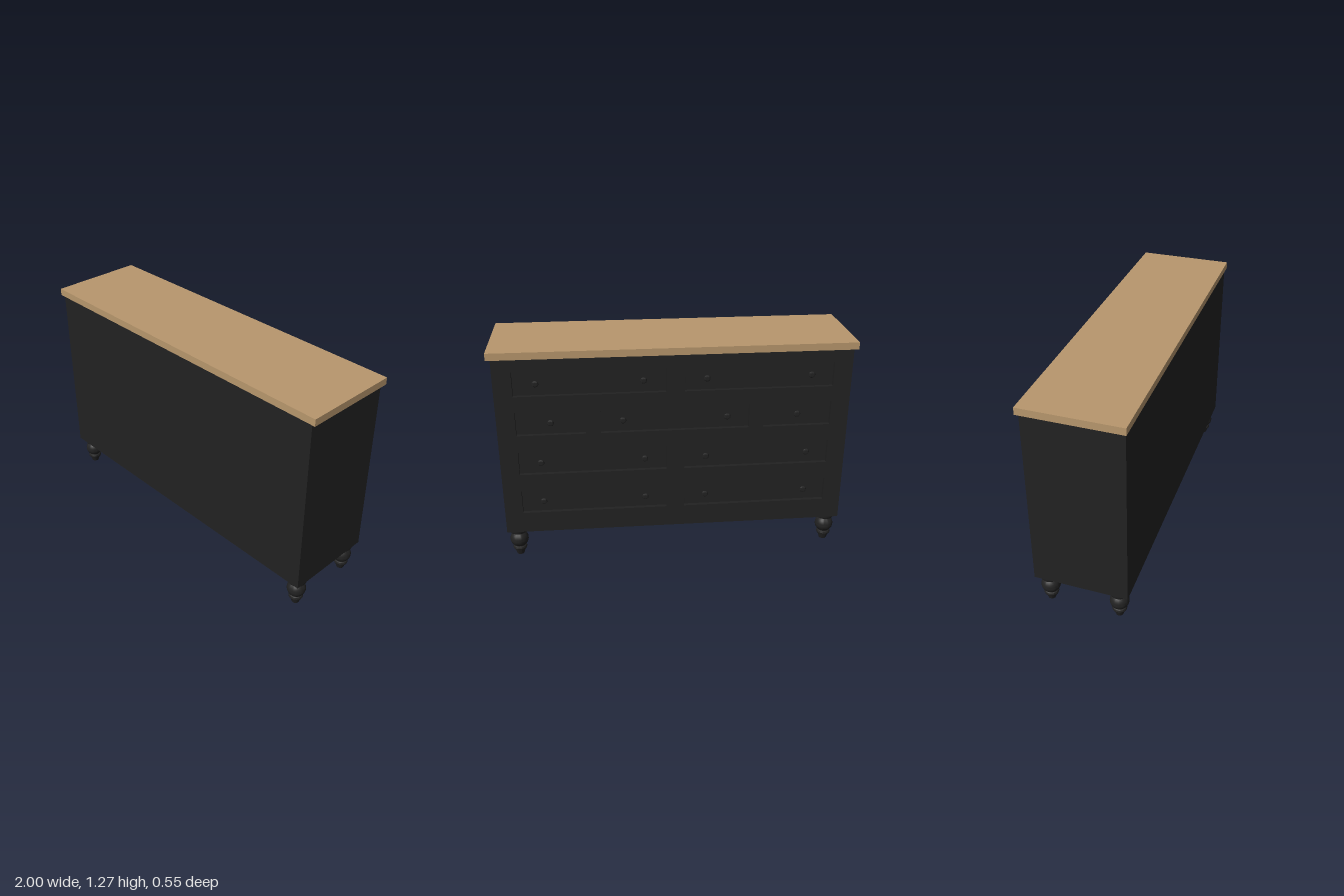
import * as THREE from 'three';
import { toCreasedNormals } from 'three/addons/utils/BufferGeometryUtils.js';

const BACK = -0.264;      // outer plane of the drawer side
const RECESS = 0.022;     // depth of the drawer openings
const DRAWER_H = 0.14;

// Drawer rows: [centre x, width, knob offsets]
const wide = (x) => [x, 0.825, [-0.29, 0.29]];
const small = (x) => [x, 0.38, [0]];
const pairRow = [wide(-0.463), wide(0.463)];
const tripleRow = [small(-0.685), wide(0), small(0.685)];
const ROWS = [[1.09, pairRow], [0.86, tripleRow], [0.62, pairRow], [0.375, pairRow]];

function rect(path, x0, y0, x1, y1) {
  path.moveTo(x0, y0);
  path.lineTo(x1, y0);
  path.lineTo(x1, y1);
  path.lineTo(x0, y1);
  path.closePath();
  return path;
}

function lathe(points, segments) {
  const pts = points.map(([r, y]) => new THREE.Vector2(r, y));
  return toCreasedNormals(new THREE.LatheGeometry(pts, segments), 0.6);
}

export function createModel() {
  const root = new THREE.Group();
  root.name = 'chestOfDrawers';
  const paint = new THREE.MeshStandardMaterial({ name: 'blackPaint', color: 0x222222 });
  const wood = new THREE.MeshStandardMaterial({ name: 'oakTop', color: 0xb8976d });

  const add = (name, geometry, material, x, y, z) => {
    const mesh = new THREE.Mesh(geometry, material);
    mesh.name = name;
    mesh.position.set(x, y, z);
    root.add(mesh);
    return mesh;
  };

  // Worktop and carcass
  add('worktop', new THREE.BoxGeometry(2, 0.04, 0.548), wood, 0, 1.252, 0);
  const bodyDepth = -2 * BACK - RECESS;
  add('carcass', new THREE.BoxGeometry(1.954, 1.052, bodyDepth), paint, 0, 0.706, RECESS / 2);

  // Face frame with an opening for each drawer
  const frame = rect(new THREE.Shape(), -0.977, 0.18, 0.977, 1.232);
  for (const [y, drawers] of ROWS) {
    for (const [x, w] of drawers) {
      frame.holes.push(rect(new THREE.Path(), x - w / 2, y - DRAWER_H / 2, x + w / 2, y + DRAWER_H / 2));
    }
  }
  const frameGeo = new THREE.ExtrudeGeometry(frame, { depth: RECESS, bevelEnabled: false });
  add('faceFrame', frameGeo, paint, 0, 0, BACK);

  // Inset drawer fronts with round knobs
  const knobGeo = lathe([
    [0.009, 0], [0.009, 0.008], [0.016, 0.011], [0.0185, 0.016],
    [0.016, 0.021], [0.009, 0.0245], [0, 0.0255],
  ], 20).rotateX(-Math.PI / 2);
  for (const [y, drawers] of ROWS) {
    for (const [x, w, knobs] of drawers) {
      const front = new THREE.BoxGeometry(w - 0.008, DRAWER_H - 0.008, 0.004);
      add('drawerFront', front, paint, x, y, BACK + RECESS);
      for (const dx of knobs) add('drawerKnob', knobGeo, paint, x + dx, y, BACK + RECESS - 0.002);
    }
  }

  // Turned bun legs: foot, ring, bulb and collar
  const profile = [[0, 0], [0.021, 0], [0.032, 0.034], [0.038, 0.037], [0.041, 0.046], [0.038, 0.055], [0.032, 0.058]];
  for (let i = 0; i <= 12; i++) {
    const a = -0.92 + (i / 12) * 1.84;
    profile.push([0.053 * Math.cos(a), 0.102 + 0.052 * Math.sin(a)]);
  }
  profile.push([0.036, 0.147], [0.048, 0.152], [0.053, 0.161], [0.053, 0.181]);
  const legGeo = lathe(profile, 32);
  for (const sx of [-1, 1]) {
    for (const sz of [-1, 1]) add('leg', legGeo, paint, sx * 0.918, 0, sz * 0.198);
  }
  return root;
}
